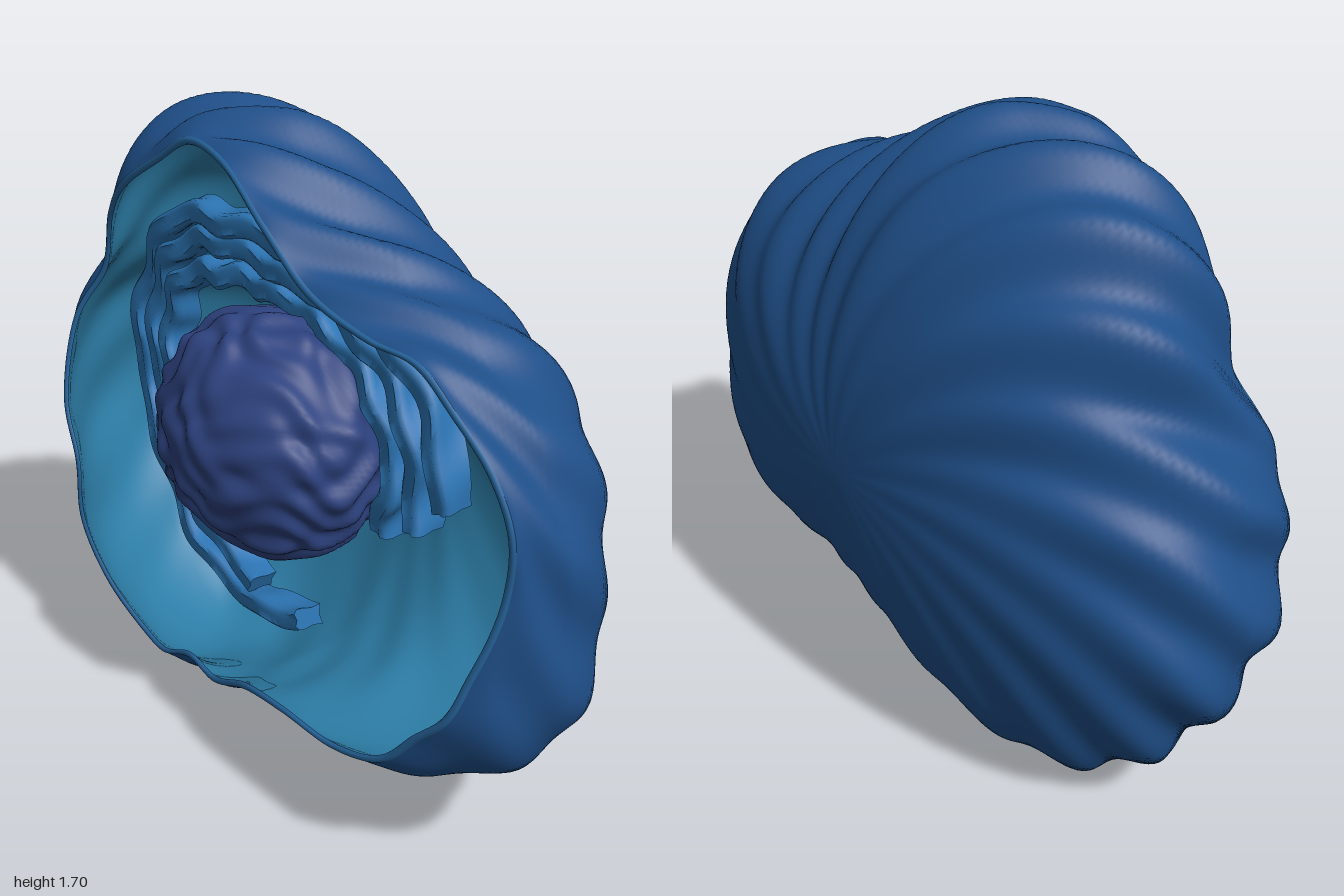
import * as THREE from 'three';
import { toCreasedNormals } from 'three/addons/utils/BufferGeometryUtils.js';

const CY = 0.85; // height of the shell's axis
const N = 360; // samples around the shell
const TAU = Math.PI * 2;

// Surface from rows of points, each row a closed loop
function loft(rows, cols, point, flip = false) {
  const pos = [], idx = [];
  for (let i = 0; i < rows; i++)
    for (let j = 0; j < cols; j++) pos.push(...point(i, j));
  for (let i = 0; i < rows - 1; i++)
    for (let j = 0; j < cols; j++) {
      const k = (j + 1) % cols;
      const a = i * cols + j, b = i * cols + k, c = a + cols, d = b + cols;
      if (flip) idx.push(a, c, b, b, c, d);
      else idx.push(a, b, c, b, d, c);
    }
  const g = new THREE.BufferGeometry();
  g.setAttribute('position', new THREE.Float32BufferAttribute(pos, 3));
  g.setIndex(idx);
  g.computeVertexNormals();
  return g;
}

// Closed outline resampled as radius and depth by angle
function polar(points) {
  const curve = new THREE.CatmullRomCurve3(
    points.map(([x, y, z = 0]) => new THREE.Vector3(x, y - CY, z)), true);
  const table = new Array(N);
  for (const p of curve.getPoints(8000)) {
    const j = Math.round((Math.atan2(p.y, p.x) / TAU + 1) * N) % N;
    table[j] = { r: Math.hypot(p.x, p.y), z: p.z };
  }
  for (let j = 0; j < N; j++) table[j] ??= table[(j + N - 1) % N];
  return table;
}

// Widest outline of the shell
const equator = polar([
  [0.99, 0.95], [0.975, 0.79], [1.0, 0.62], [0.92, 0.38], [0.65, 0.26], [0.35, 0.26],
  [0.1, 0.18], [-0.1, 0.11], [-0.2, 0.05], [-0.4, 0.005], [-0.6, 0.06], [-0.75, 0.2],
  [-0.87, 0.36], [-0.92, 0.5], [-1.0, 0.66], [-0.93, 0.85], [-0.95, 0.99], [-0.87, 1.11],
  [-0.78, 1.16], [-0.72, 1.4], [-0.6, 1.55], [-0.4, 1.68], [-0.25, 1.672], [-0.1, 1.7],
  [0.05, 1.66], [0.2, 1.55], [0.5, 1.41], [0.7, 1.34], [0.82, 1.27], [0.87, 1.17], [0.96, 1.06],
]);

// Edge of the opening, with its depth
const rim = polar([
  [0.95, 1.04, 0.21], [0.945, 0.9, 0.21], [0.93, 0.8, 0.23], [0.9, 0.69, 0.26],
  [0.86, 0.57, 0.29], [0.78, 0.48, 0.31], [0.69, 0.38, 0.33], [0.52, 0.32, 0.34],
  [0.33, 0.32, 0.35], [0.17, 0.3, 0.35], [-0.02, 0.215, 0.33], [-0.13, 0.23, 0.33],
  [-0.31, 0.15, 0.31], [-0.39, 0.16, 0.31], [-0.55, 0.28, 0.34], [-0.645, 0.45, 0.36],
  [-0.65, 0.64, 0.36], [-0.73, 0.8, 0.34], [-0.74, 1.04, 0.28], [-0.65, 1.2, 0.23],
  [-0.58, 1.37, 0.24], [-0.47, 1.48, 0.26], [-0.31, 1.58, 0.25], [-0.18, 1.65, 0.24],
  [-0.02, 1.635, 0.25], [0.17, 1.53, 0.27], [0.33, 1.41, 0.26], [0.52, 1.355, 0.245],
  [0.68, 1.345, 0.24], [0.78, 1.27, 0.23], [0.89, 1.16, 0.215],
]);

// Smooth body: the outline averaged over one ripple
const RIPPLES = 20, WIN = 9;
const body = equator.map((_, j) => {
  let sum = 0;
  for (let k = -WIN; k <= WIN; k++) sum += equator[(j + k + N) % N].r;
  return sum / (2 * WIN + 1) - 0.006;
});

const BACK = 36, FRONT = 16; // rows behind and in front of the widest outline
function shellPoint(i, j, inset, depth = 1) {
  const th = (j / N) * TAU;
  // Ripples spiral from the rim to the middle of the back, strongest at the upper right side
  const ripple = depth * (0.019 + 0.009 * Math.cos(th - 2.3))
    * Math.cos(RIPPLES * (th - 0.095 + 0.7 * (1 - i / BACK)));
  const zMid = 0.03 + 0.04 * Math.cos(th) + 0.02 * Math.sin(th);
  let r, z;
  if (i <= BACK) {
    const a = (i / BACK) * Math.PI / 2, s = Math.sin(a);
    r = (body[j] + ripple - inset) * s;
    z = zMid - (0.43 + zMid - inset) * Math.cos(a);
  } else {
    const b = ((i - BACK) / FRONT) * Math.PI / 3, f = (1 - Math.cos(b)) / 0.5;
    r = THREE.MathUtils.lerp(body[j] + ripple, rim[j].r, f) - inset;
    z = zMid + (rim[j].z - zMid) * Math.sin(b) / Math.sin(Math.PI / 3);
  }
  return [r * Math.cos(th), CY + r * Math.sin(th), z];
}

// Knobbly ball
function nucleusPoint(i, j) {
  const a = (i / 80) * Math.PI, t = (j / 120) * TAU;
  const x = Math.sin(a) * Math.cos(t), y = -Math.cos(a), z = -Math.sin(a) * Math.sin(t);
  const r = 0.325
    + 0.007 * Math.sin(18 * y + 8 * x + 2 * Math.sin(7 * x) + 2 * Math.sin(8 * z))
    + 0.007 * Math.sin(15 * x + 11 * z + 2 * Math.sin(9 * y));
  return [0.033 + r * 1.05 * x, 0.93 + r * 0.97 * y, 0.155 + r * 0.83 * z];
}

// Wavy folded sheet following a path, softly grooved in front and closed at both ends
const SECTION = [[0.03, -0.045], [0.025, -0.015], [0.031, 0.015], [0.03, 0.034], [0.018, 0.044],
  [0, 0.037], [-0.018, 0.044], [-0.03, 0.034], [-0.031, 0.015], [-0.025, -0.015], [-0.03, -0.045], [0, -0.038]];
function ribbon(path, phase) {
  const curve = new THREE.CatmullRomCurve3(path.map(([x, y]) => new THREE.Vector3(x, y, 0.07)));
  const steps = 130;
  const g = loft(steps + 3, SECTION.length, (i, j) => {
    const s = THREE.MathUtils.clamp((i - 1) / steps, 0, 1);
    const cap = i === 0 || i === steps + 2;
    const p = curve.getPointAt(s), t = curve.getTangentAt(s);
    const [u, v] = cap ? [0, 0] : SECTION[j];
    const d = u + 0.01 * Math.sin(s * 78 + phase + v * 14);
    return [p.x + t.y * d, p.y - t.x * d, p.z + v + 0.008 * Math.sin(s * 55 + phase * 2)];
  }, true);
  return toCreasedNormals(g, 1.1);
}

const RIBBONS = [
  [[0.6, 0.92], [0.55, 1.13], [0.4, 1.28], [0.2, 1.355], [0, 1.39], [-0.3, 1.385], [-0.5, 1.34], [-0.61, 1.2],
    [-0.69, 1.02], [-0.68, 0.82], [-0.61, 0.62], [-0.5, 0.45], [-0.35, 0.34], [-0.15, 0.305], [0.05, 0.35]],
  [[0.5, 0.83], [0.49, 1.04], [0.38, 1.2], [0.2, 1.295], [-0.05, 1.325], [-0.35, 1.32], [-0.53, 1.22],
    [-0.61, 1.04], [-0.6, 0.85], [-0.52, 0.65], [-0.4, 0.48], [-0.15, 0.36]],
  [[0.38, 0.77], [0.42, 0.95], [0.36, 1.1], [0.24, 1.2], [0.05, 1.255], [-0.25, 1.25], [-0.45, 1.19],
    [-0.54, 1.04], [-0.53, 0.86], [-0.48, 0.7], [-0.4, 0.57], [-0.28, 0.49]],
];

export function createModel() {
  const model = new THREE.Group();
  const add = (name, geometry, color, parent = model) => {
    const mesh = new THREE.Mesh(geometry, new THREE.MeshStandardMaterial({ color }));
    mesh.name = name;
    parent.add(mesh);
  };
  const rows = BACK + FRONT + 1, wall = 0.02;

  // Cut-open shell: outside, smoother lining and the rounded lip joining them
  add('outerMembrane', loft(rows, N, (i, j) => shellPoint(i, j, 0)), 0x1f4f89);
  add('innerLining', loft(rows, N, (i, j) => {
    const toRim = Math.max(0, (i - BACK) / FRONT);
    return shellPoint(i, j, THREE.MathUtils.lerp(0.03, wall, toRim), 0.3);
  }, true), 0x2d7ea8);
  add('rimLip', loft(5, N, (i, j) => {
    const a = (i / 4) * Math.PI;
    const p = shellPoint(rows - 1, j, wall * (1 - Math.cos(a)) / 2);
    return [p[0], p[1], p[2] + 0.008 * Math.sin(a)];
  }), 0x27659c);

  add('nucleus', loft(81, 120, nucleusPoint), 0x2d427f);

  // Nested folded sheets around the nucleus
  const sheets = new THREE.Group();
  sheets.name = 'foldedSheets';
  RIBBONS.forEach((path, i) => add('foldedSheet' + (i + 1), ribbon(path, i * 1.3), 0x2c74b3, sheets));
  model.add(sheets);
  return model;
}
